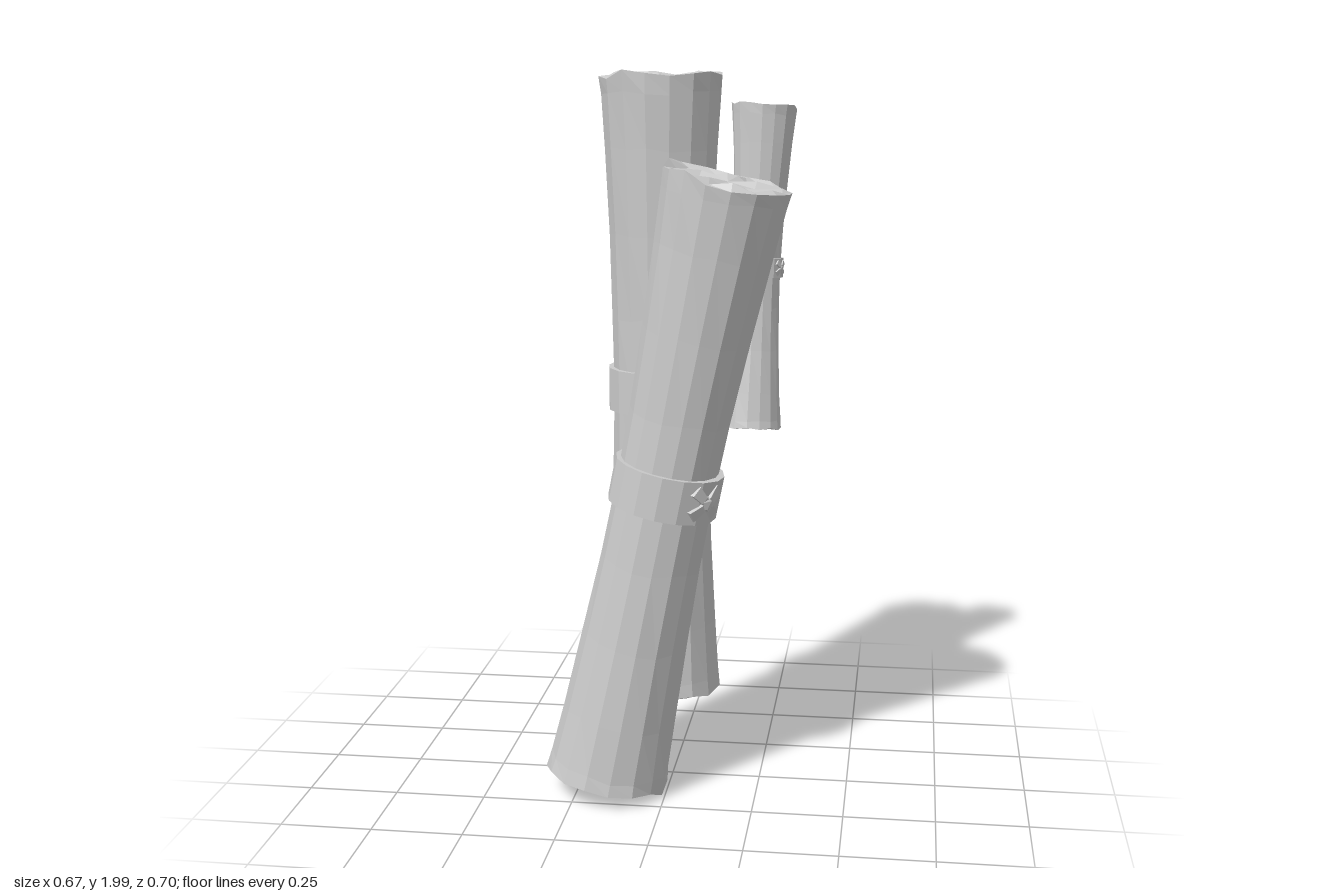
import * as THREE from 'three';

const SIDES = 16;
const material = new THREE.MeshStandardMaterial({
  color: 0xcccccc, flatShading: true, side: THREE.DoubleSide,
});

function seeded(seed) {
  let s = seed;
  return () => {
    s = (s * 16807) % 2147483647;
    return s / 2147483647;
  };
}

function part(name, geometry) {
  const mesh = new THREE.Mesh(geometry, material);
  mesh.name = name;
  return mesh;
}

// Rolled sheet: flared wall, ragged rims and shallow sunken ends
function rollGeometry(length, rEnd, rWaist, random) {
  const radiusAt = (t) => rWaist + (rEnd - rWaist) * Math.abs(2 * t - 1) ** 1.7;
  const dip = rEnd * 0.14;
  const end = [[0, dip], [0.45, dip * 0.9], [0.84, dip * 0.8]];
  const profile = end.map(([r, y]) => new THREE.Vector2(r * rEnd, y));
  const wall = [0, 0.035, 0.12, 0.25, 0.38, 0.5, 0.62, 0.75, 0.88, 0.965, 1];
  wall.forEach((t) => profile.push(new THREE.Vector2(radiusAt(t), t * length)));
  end.slice().reverse().forEach(([r, y]) => profile.push(new THREE.Vector2(r * rEnd, length - y)));

  const geometry = new THREE.LatheGeometry(profile, SIDES);
  const pos = geometry.attributes.position;
  const rows = profile.length;
  const firstRim = end.length;
  const lastRim = rows - 1 - end.length;
  const v = new THREE.Vector3();
  for (let k = 0; k < SIDES; k++) {
    for (let j = 1; j < rows - 1; j++) {
      const i = k * rows + j;
      v.fromBufferAttribute(pos, i);
      const rim = j === firstRim || j === lastRim;
      const inside = j < firstRim || j > lastRim;
      // the overlap of the sheet makes a small step at the seam
      let scale = 0.985 + 0.03 * (k / SIDES) + (random() - 0.5) * 0.02;
      if (inside) scale += (random() - 0.5) * 0.12;
      v.x *= scale;
      v.z *= scale;
      if (rim) v.y += (j === firstRim ? 1 : -1) * random() * rEnd * 0.17;
      else v.y += (random() - 0.5) * rEnd * (inside ? 0.14 : 0.08);
      pos.setXYZ(i, v.x, v.y, v.z);
      if (k === 0) pos.setXYZ(SIDES * rows + j, v.x, v.y, v.z);
    }
  }
  geometry.computeVertexNormals();
  return geometry;
}

// Flat tie wrapped round the waist
function bandGeometry(radius, thickness, height) {
  const h = height / 2;
  const outer = radius + thickness;
  const points = [[radius * 0.95, -h], [outer, -h], [outer, h], [radius * 0.95, h]];
  return new THREE.LatheGeometry(points.map(([x, y]) => new THREE.Vector2(x, y)), SIDES);
}

// Crumpled knot: two crossed straps and a small lump
function makeKnot(height, thickness, random) {
  const knot = new THREE.Group();
  knot.name = 'knot';
  for (const side of [-1, 1]) {
    const strap = new THREE.BoxGeometry(height * 0.95, height * 0.26, thickness, 3, 1, 1);
    const pos = strap.attributes.position;
    for (let i = 0; i < pos.count; i++) {
      const x = pos.getX(i);
      pos.setZ(i, pos.getZ(i) - (x * x) / height * 0.35);
      pos.setY(i, pos.getY(i) * (0.6 + Math.abs(x) / height));
    }
    strap.computeVertexNormals();
    const mesh = part('knotStrap', strap);
    mesh.rotation.z = side * 0.7;
    knot.add(mesh);
  }
  const lump = part('knotLump', new THREE.IcosahedronGeometry(height * 0.2, 0));
  lump.scale.z = 0.6;
  lump.rotation.z = random() * 3;
  knot.add(lump);
  return knot;
}

function makeScroll(name, spec) {
  const random = seeded(spec.seed);
  const bottom = new THREE.Vector3(...spec.bottom);
  const axis = new THREE.Vector3(...spec.top).sub(bottom);
  const length = axis.length();

  const scroll = new THREE.Group();
  scroll.name = name;
  scroll.position.copy(bottom);
  scroll.quaternion.setFromUnitVectors(new THREE.Vector3(0, 1, 0), axis.normalize());

  const roll = part('rolledSheet', rollGeometry(length, spec.rEnd, spec.rWaist, random));
  roll.rotation.y = spec.knotAngle;
  scroll.add(roll);

  const thickness = spec.rWaist * 0.12;
  const band = part('band', bandGeometry(spec.rWaist, thickness, spec.band));
  band.position.y = length * 0.505;
  scroll.add(band);

  const knot = makeKnot(spec.band, thickness, random);
  const r = spec.rWaist + thickness;
  knot.position.set(Math.sin(spec.knotAngle) * r, length * 0.505, Math.cos(spec.knotAngle) * r);
  knot.rotation.y = spec.knotAngle;
  scroll.add(knot);
  return scroll;
}

export function createModel() {
  const model = new THREE.Group();
  model.name = 'scrolls';
  model.add(
    makeScroll('backScroll', {
      bottom: [-0.05, 0.21, -0.14], top: [-0.05, 2, -0.135],
      rEnd: 0.172, rWaist: 0.135, band: 0.12, knotAngle: 1.05, seed: 11,
    }),
    makeScroll('frontScroll', {
      bottom: [-0.172, 0.035, 0.13], top: [0.172, 1.74, 0.18],
      rEnd: 0.172, rWaist: 0.134, band: 0.12, knotAngle: 0.95, seed: 47,
    }),
    makeScroll('smallScroll', {
      bottom: [0.193, 0.985, -0.2], top: [0.225, 1.905, -0.26],
      rEnd: 0.093, rWaist: 0.067, band: 0.055, knotAngle: 1.2, seed: 83,
    }),
  );
  return model;
}
